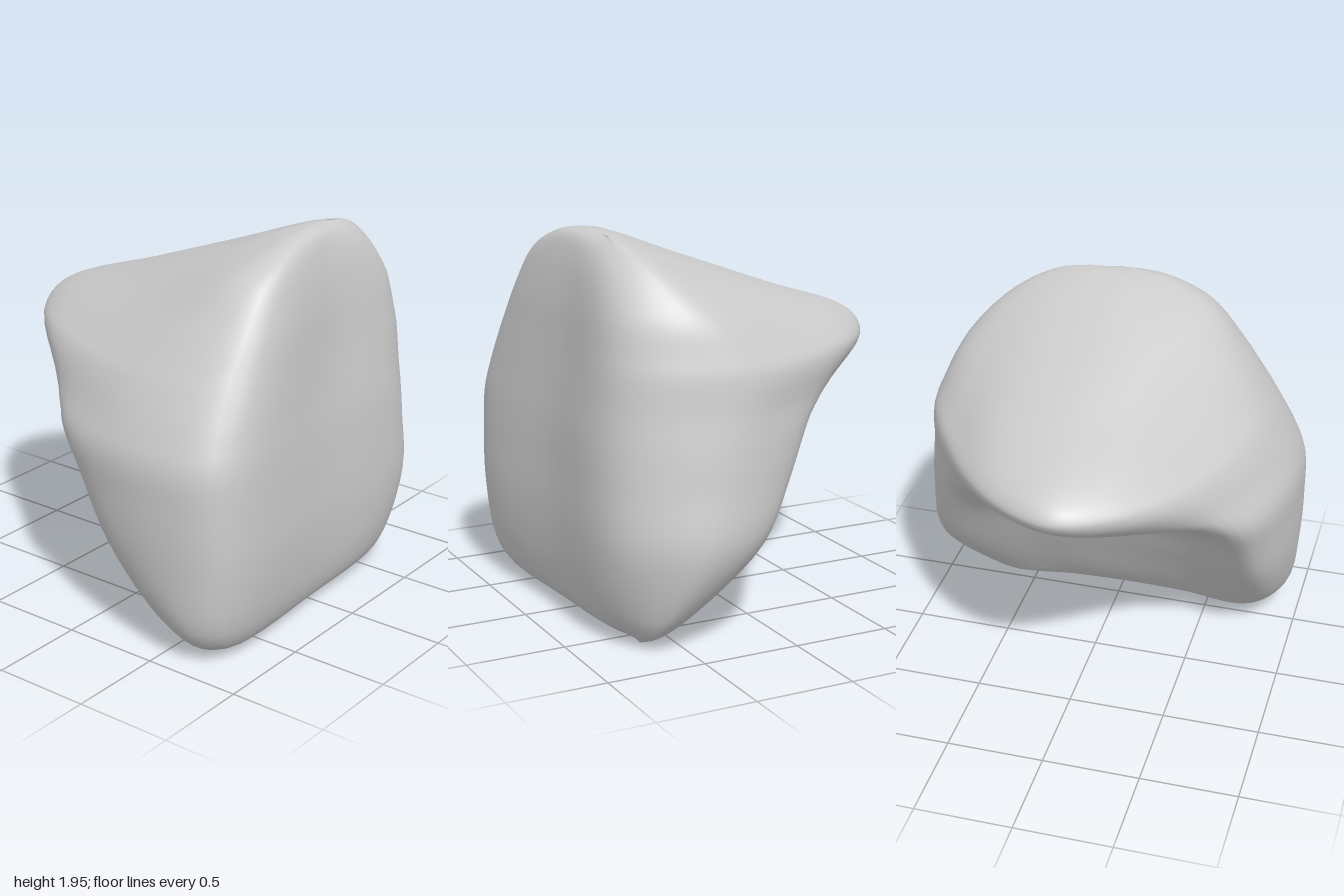
import * as THREE from 'three';

// Horizontal sections of the boulder: y, left x, right x, front z,
// left ridge z, back centre z, right ridge z, ridge spread (share of half width)
const SECTIONS = [
  [0.01, -0.55, 0.64, 0.73, 0.61, 0.62, 0.60, 0.82],
  [0.06, -0.84, 0.75, 0.81, 0.49, 0.53, 0.49, 0.84],
  [0.18, -0.94, 0.86, 0.855, 0.38, 0.43, 0.38, 0.86],
  [0.50, -0.99, 0.99, 0.885, 0.11, 0.25, 0.10, 0.86],
  [0.80, -1.00, 0.97, 0.88, -0.08, 0.07, -0.08, 0.82],
  [1.00, -0.99, 0.95, 0.87, -0.22, -0.27, -0.18, 0.79],
  [1.15, -0.93, 0.93, 0.855, -0.31, -0.66, -0.27, 0.75],
  [1.33, -0.83, 0.91, 0.836, -0.41, -0.90, -0.35, 0.71],
  [1.42, -0.77, 0.88, 0.828, -0.31, -0.85, -0.27, 0.69],
  [1.60, -0.64, 0.80, 0.812, 0.00, -0.36, 0.00, 0.67],
  [1.80, -0.46, 0.60, 0.78, 0.34, 0.19, 0.34, 0.66],
  [1.91, -0.22, 0.38, 0.74, 0.54, 0.48, 0.54, 0.66],
  [1.945, -0.04, 0.20, 0.69, 0.61, 0.59, 0.61, 0.66],
];

// Ten guide points around one section, starting at the front left corner
function guidePoints([y, xl, xr, zf, zl, zc, zr, spread]) {
  const mix = THREE.MathUtils.lerp;
  const mid = (xl + xr) / 2;
  const xc = mid - 0.06, xRidgeL = mix(mid, xl, spread), xRidgeR = mix(mid, xr, spread);
  return [
    [mix(mid, xl, 0.89), zf - 0.025],
    [mid, zf - 0.025],
    [mix(mid, xr, 0.75), zf - 0.07],
    [xr, mix(zf, zr, 0.53)],
    [xRidgeR, zr],
    [mix(xc, xRidgeR, 0.5), mix(zc, zr, 0.27)],
    [xc, zc],
    [mix(xc, xRidgeL, 0.5), mix(zc, zl, 0.27)],
    [xRidgeL, zl],
    [xl, mix(zf, zl, 0.42)],
  ].map(([x, z]) => new THREE.Vector3(x, y, z));
}

function boulderGeometry(around = 72, levels = 60) {
  // Vertical guide curves through matching points, then a closed loop per level
  const guides = SECTIONS.map(guidePoints);
  const rails = guides[0].map((_, k) =>
    new THREE.CatmullRomCurve3(guides.map(g => g[k]), false, 'centripetal'));
  const positions = [], index = [];
  for (let j = 0; j <= levels; j++) {
    const t = j / levels;
    const loop = new THREE.CatmullRomCurve3(rails.map(r => r.getPoint(t)), true, 'centripetal');
    for (let i = 0; i < around; i++) {
      const p = loop.getPoint(i / around);
      positions.push(p.x, p.y, p.z);
    }
  }
  for (let j = 0; j < levels; j++) {
    for (let i = 0; i < around; i++) {
      const a = j * around + i, b = j * around + (i + 1) % around;
      index.push(a, b, b + around, a, b + around, a + around);
    }
  }
  // Close the bottom and the top with fans
  const bottom = positions.length / 3, top = bottom + 1, last = levels * around;
  positions.push(0.03, 0, 0.665, 0.08, 1.95, 0.645);
  for (let i = 0; i < around; i++) {
    const n = (i + 1) % around;
    index.push(bottom, n, i, top, last + i, last + n);
  }
  const geometry = new THREE.BufferGeometry();
  geometry.setAttribute('position', new THREE.Float32BufferAttribute(positions, 3));
  geometry.setIndex(index);
  geometry.computeVertexNormals();
  return geometry;
}

export function createModel() {
  const group = new THREE.Group();
  group.name = 'rock';
  const boulder = new THREE.Mesh(boulderGeometry(),
    new THREE.MeshStandardMaterial({ color: 0xcccccc }));
  boulder.name = 'boulder';
  group.add(boulder);
  return group;
}
